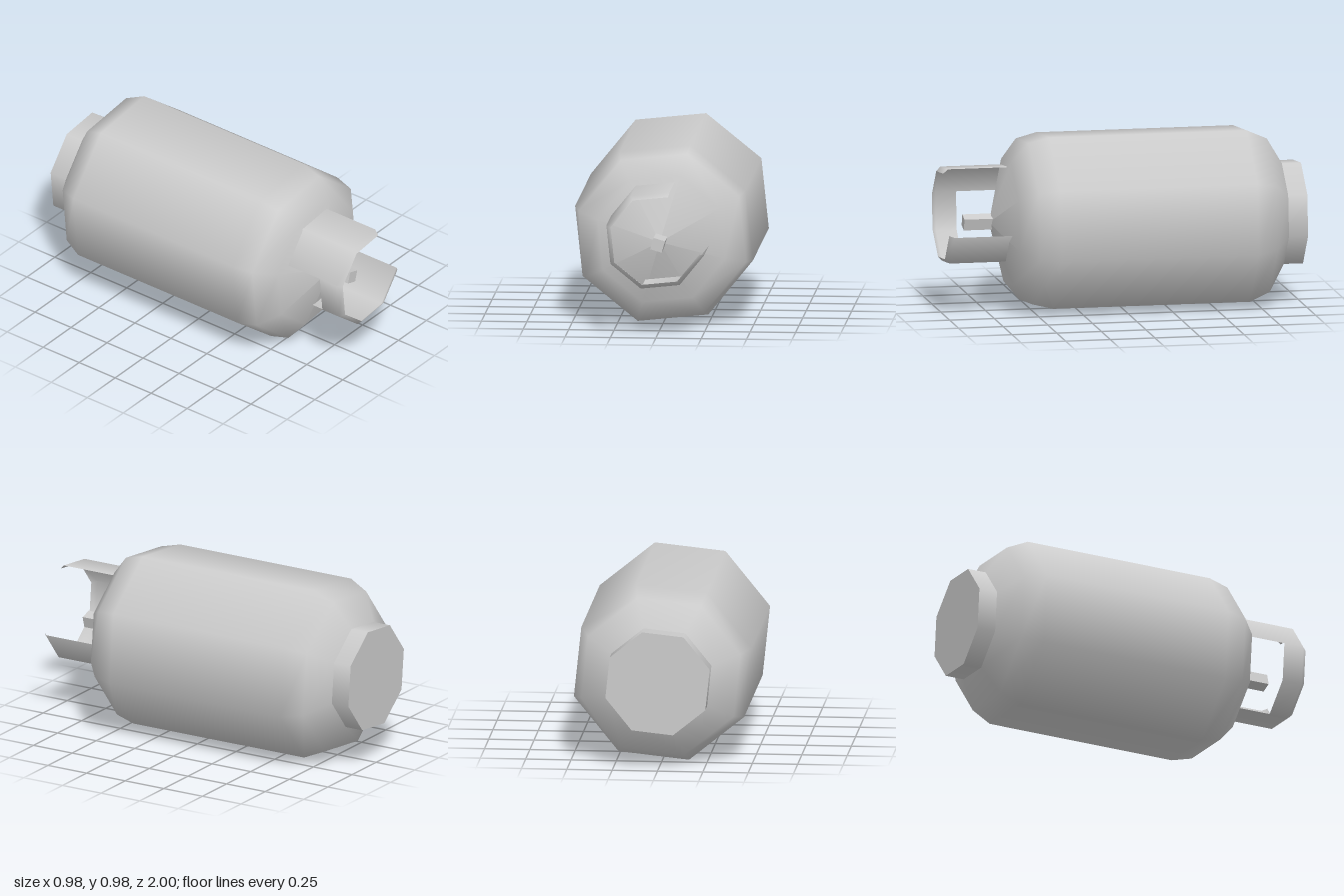
import * as THREE from 'three';

const TURN = THREE.MathUtils.degToRad(28.5); // roll of the octagon about the long axis
const SIDE = Math.PI / 4;
const AXIS_Y = 0.49;

const material = new THREE.MeshStandardMaterial({ color: 0xcccccc });
const sheetMaterial = new THREE.MeshStandardMaterial({ color: 0xcccccc, side: THREE.DoubleSide });

// Eight-sided lathe along z; profile is [radius, z] from back to front
function latheZ(profile, firstSide = 0, sides = 8) {
  const points = profile.map(([r, z]) => new THREE.Vector2(r, z));
  return new THREE.LatheGeometry(points, sides, TURN + firstSide * SIDE, sides * SIDE).rotateX(Math.PI / 2);
}

function add(parent, name, geometry, mat, x, y, z) {
  const mesh = new THREE.Mesh(geometry, mat);
  mesh.name = name;
  mesh.position.set(x, y, z);
  parent.add(mesh);
  return mesh;
}

export function createModel() {
  const model = new THREE.Group();
  model.name = 'gasCylinder';

  // Tank with rounded shoulders and a shallow cone at the front
  const tank = [
    [0.3, -0.893], [0.457, -0.8], [0.511, -0.685], [0.511, 0.42],
    [0.48, 0.535], [0.365, 0.628], [0, 0.73],
  ];
  add(model, 'tankBody', latheZ(tank), material, 0, AXIS_Y, 0);

  // Foot ring at the back
  const foot = new THREE.CylinderGeometry(0.3, 0.3, 0.14, 8, 1, false, TURN).rotateX(Math.PI / 2);
  add(model, 'footRing', foot, material, 0, AXIS_Y, -0.93);

  // Open collar: full-depth panels at both ends, a narrow strip over the hand hole between
  const collar = new THREE.Group();
  collar.name = 'collar';
  model.add(collar);
  const collarParts = [
    ['collarUpperPanels', 3, 0.62],
    ['collarHandle', 5, 0.86],
    ['collarLowerPanels', 7, 0.62],
  ];
  for (const [name, firstSide, back] of collarParts) {
    const profile = [[0.281, back], [0.281, 0.975], [0.255, 1]];
    add(collar, name, latheZ(profile, firstSide, 2), sheetMaterial, -0.005, 0.54, 0);
  }

  // Square valve stem
  const valve = add(model, 'valve', new THREE.BoxGeometry(0.066, 0.066, 0.2), material, 0, 0.496, 0.775);
  valve.rotation.z = -THREE.MathUtils.degToRad(16.5);

  return model;
}
